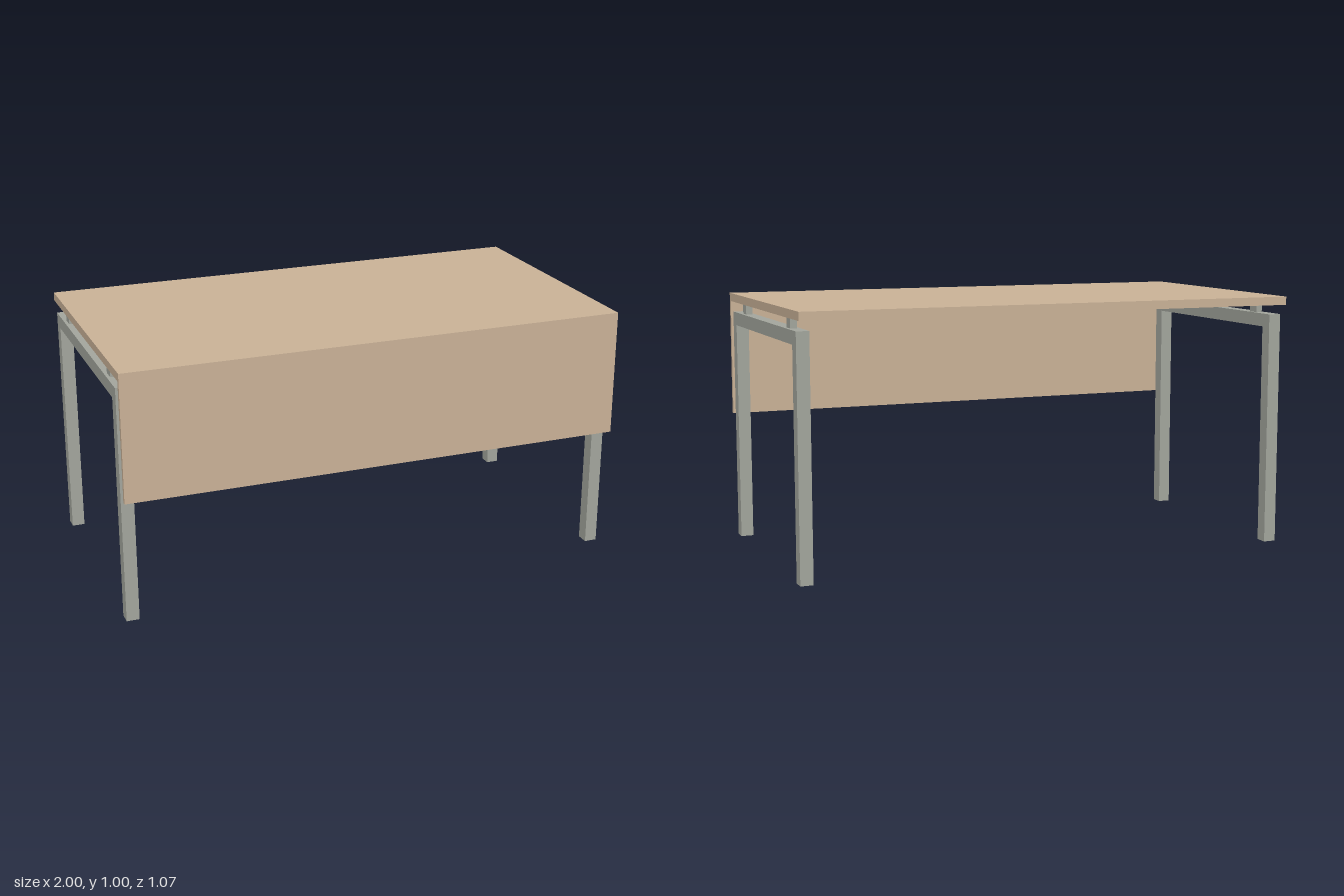
import * as THREE from 'three';

export function createModel() {
  const desk = new THREE.Group();
  desk.name = 'desk';

  const wood = new THREE.MeshStandardMaterial({ color: 0xcab297 });
  wood.name = 'light wood';
  const metal = new THREE.MeshStandardMaterial({ color: 0xa3a69d });
  metal.name = 'grey metal';

  // Box given by its minimum and maximum on each axis
  function box(parent, name, material, [x0, x1], [y0, y1], [z0, z1]) {
    const mesh = new THREE.Mesh(new THREE.BoxGeometry(x1 - x0, y1 - y0, z1 - z0), material);
    mesh.position.set((x0 + x1) / 2, (y0 + y1) / 2, (z0 + z1) / 2);
    mesh.name = name;
    parent.add(mesh);
  }

  // Worktop and hanging front panel
  box(desk, 'worktop', wood, [-1, 1], [0.969, 1.002], [-0.533, 0.533]);
  box(desk, 'modestyPanel', wood, [-1, 1], [0.503, 0.969], [0.516, 0.533]);

  // One square-tube portal frame at each end, cut as a single profile
  const profile = new THREE.Shape([
    [-0.474, 0], [-0.423, 0], [-0.423, 0.877], [0.44, 0.877],
    [0.44, 0], [0.491, 0], [0.491, 0.929], [-0.474, 0.929],
  ].map(([x, y]) => new THREE.Vector2(x, y)));
  const frameGeometry = new THREE.ExtrudeGeometry(profile, { depth: 0.05, bevelEnabled: false });
  frameGeometry.rotateY(Math.PI / 2); // profile x becomes -z, depth becomes +x

  for (const side of [1, -1]) {
    const end = new THREE.Group();
    end.name = side > 0 ? 'leftLegFrame' : 'rightLegFrame';
    desk.add(end);

    const frame = new THREE.Mesh(frameGeometry, metal);
    frame.name = 'legFrame';
    frame.position.x = side > 0 ? 0.95 : -1;
    end.add(frame);

    // Spacers carrying the worktop above the frame
    const x = side * 0.975;
    box(end, 'frontSpacer', metal, [x - 0.0125, x + 0.0125], [0.929, 0.969], [0.303, 0.354]);
    box(end, 'backSpacer', metal, [x - 0.0125, x + 0.0125], [0.929, 0.969], [-0.371, -0.32]);
  }

  return desk;
}
